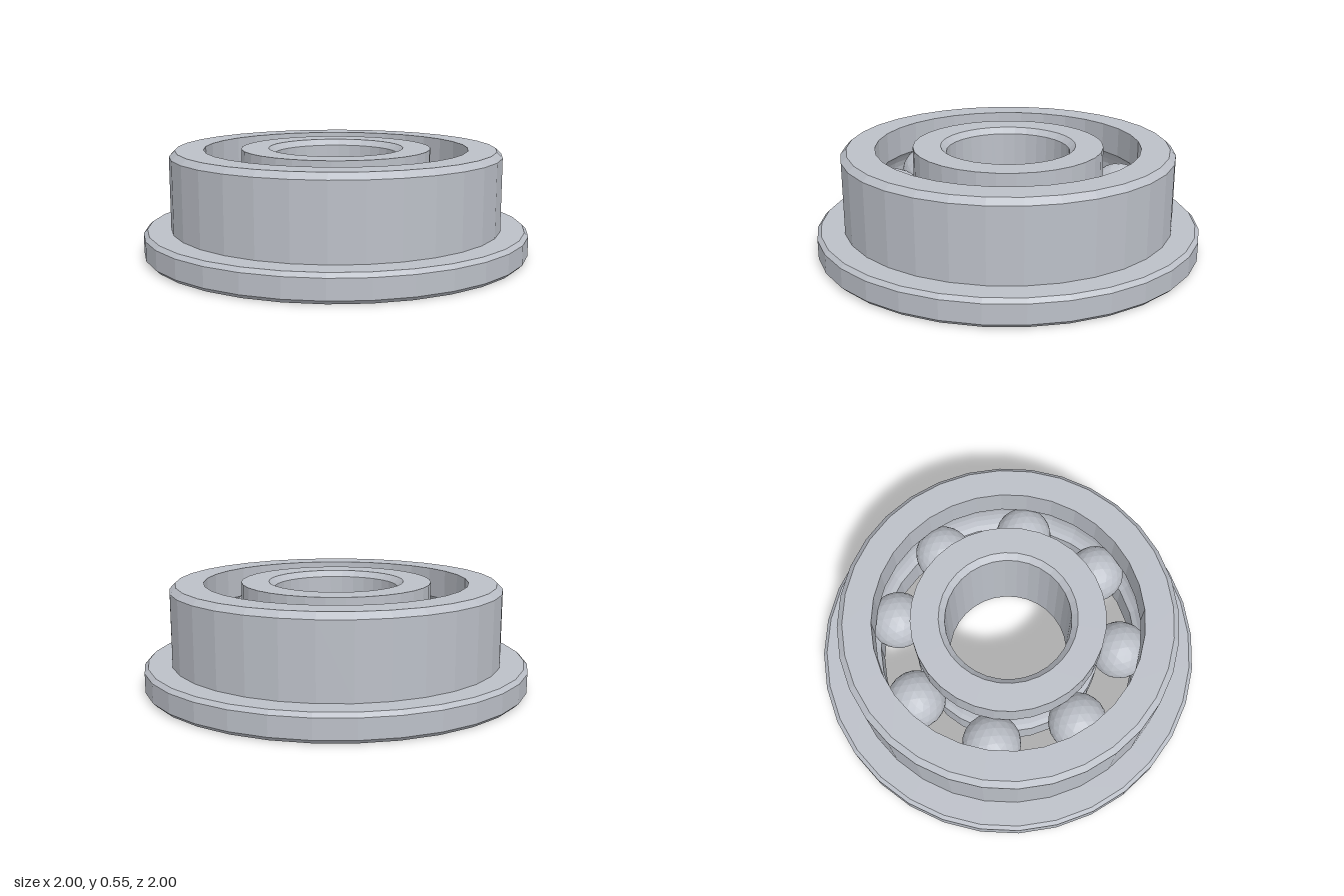
import * as THREE from 'three';

const HEIGHT = 0.545, MID = HEIGHT / 2;
const PITCH = 0.588, BALL = 0.15;     // ball circle radius and ball radius
const SIDES = 32, BALLS = 8;

// give every facet its own flat normal
function faceted(geometry) {
  const g = geometry.index ? geometry.toNonIndexed() : geometry;
  g.computeVertexNormals();
  return g;
}

// curved ball track cut into a wall of the given radius
function groove(wall, facing) {
  const half = Math.acos(Math.abs(wall - PITCH) / BALL);
  const pts = [];
  for (let i = 0; i <= 8; i++) {
    const a = facing + half * (1 - i / 4);
    pts.push([PITCH + BALL * Math.cos(a), MID + BALL * Math.sin(a)]);
  }
  return pts;
}

function ring(name, profile, material) {
  const pts = profile.map(([r, y]) => new THREE.Vector2(r, y));
  const mesh = new THREE.Mesh(faceted(new THREE.LatheGeometry(pts, SIDES)), material);
  mesh.name = name;
  return mesh;
}

export function createModel() {
  const model = new THREE.Group();
  model.name = 'flangedBallBearing';
  const steel = new THREE.MeshStandardMaterial({ color: 0xbcc0c8 });
  steel.name = 'steel';

  // outer ring with chamfered flange at the base
  model.add(ring('outerRing', [
    [0.685, 0], [0.98, 0], [1, 0.02], [1, 0.12], [0.98, 0.14], [0.86, 0.14],
    [0.86, HEIGHT - 0.03], [0.83, HEIGHT], [0.685, HEIGHT],
    ...groove(0.685, 0), [0.685, 0],
  ], steel));

  // inner ring with chamfered bore
  model.add(ring('innerRing', [
    [0.35, 0], [0.492, 0], ...groove(0.492, Math.PI), [0.492, HEIGHT],
    [0.35, HEIGHT], [0.32, HEIGHT - 0.03], [0.32, 0.03], [0.35, 0],
  ], steel));

  // balls between the rings
  const balls = new THREE.Group();
  balls.name = 'balls';
  const ballGeometry = faceted(new THREE.IcosahedronGeometry(BALL, 3));
  for (let i = 0; i < BALLS; i++) {
    const a = (i / BALLS) * Math.PI * 2;
    const ball = new THREE.Mesh(ballGeometry, steel);
    ball.name = 'ball';
    ball.position.set(PITCH * Math.sin(a), MID, PITCH * Math.cos(a));
    balls.add(ball);
  }
  model.add(balls);
  return model;
}
